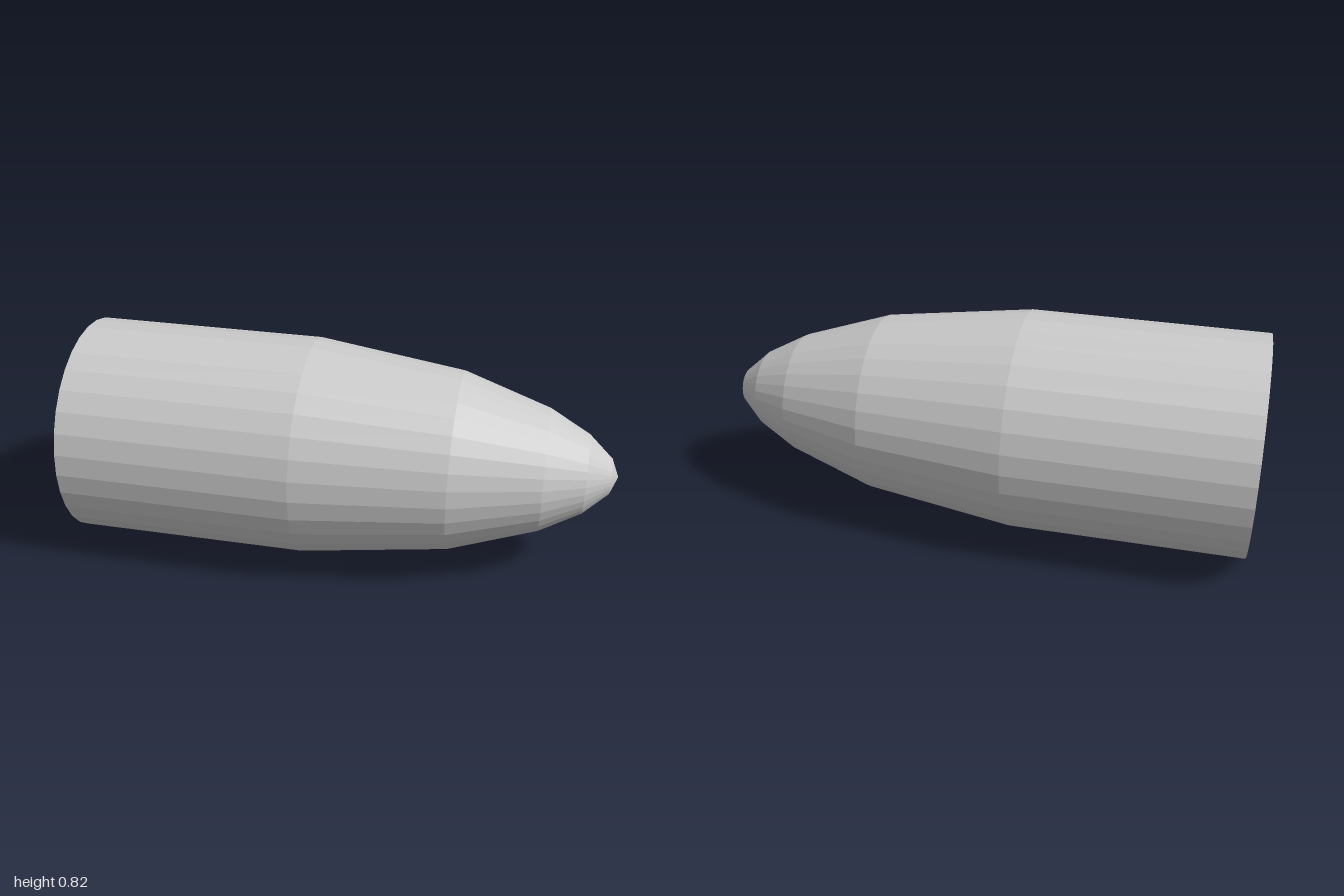
import * as THREE from 'three';

const RADIUS = 0.408;
const SIDES = 32;

// [distance along x, radius] from the flat base to the pointed tip
const PROFILE = [
  [-1, 0], [-1, RADIUS], [-0.134, RADIUS], [0.413, 0.334],
  [0.736, 0.227], [0.884, 0.1465], [0.973, 0.0655], [1, 0],
];

export function createModel() {
  const group = new THREE.Group();
  group.name = 'projectile';
  const material = new THREE.MeshStandardMaterial({ color: 0xcccccc, flatShading: true });

  // Faceted body with closed base and tapering nose, laid along +x
  const points = PROFILE.map(([x, r]) => new THREE.Vector2(r, x));
  const geometry = new THREE.LatheGeometry(points, SIDES);
  geometry.rotateZ(-Math.PI / 2);
  geometry.translate(0, RADIUS, 0);

  const body = new THREE.Mesh(geometry, material);
  body.name = 'body';
  group.add(body);
  return group;
}
